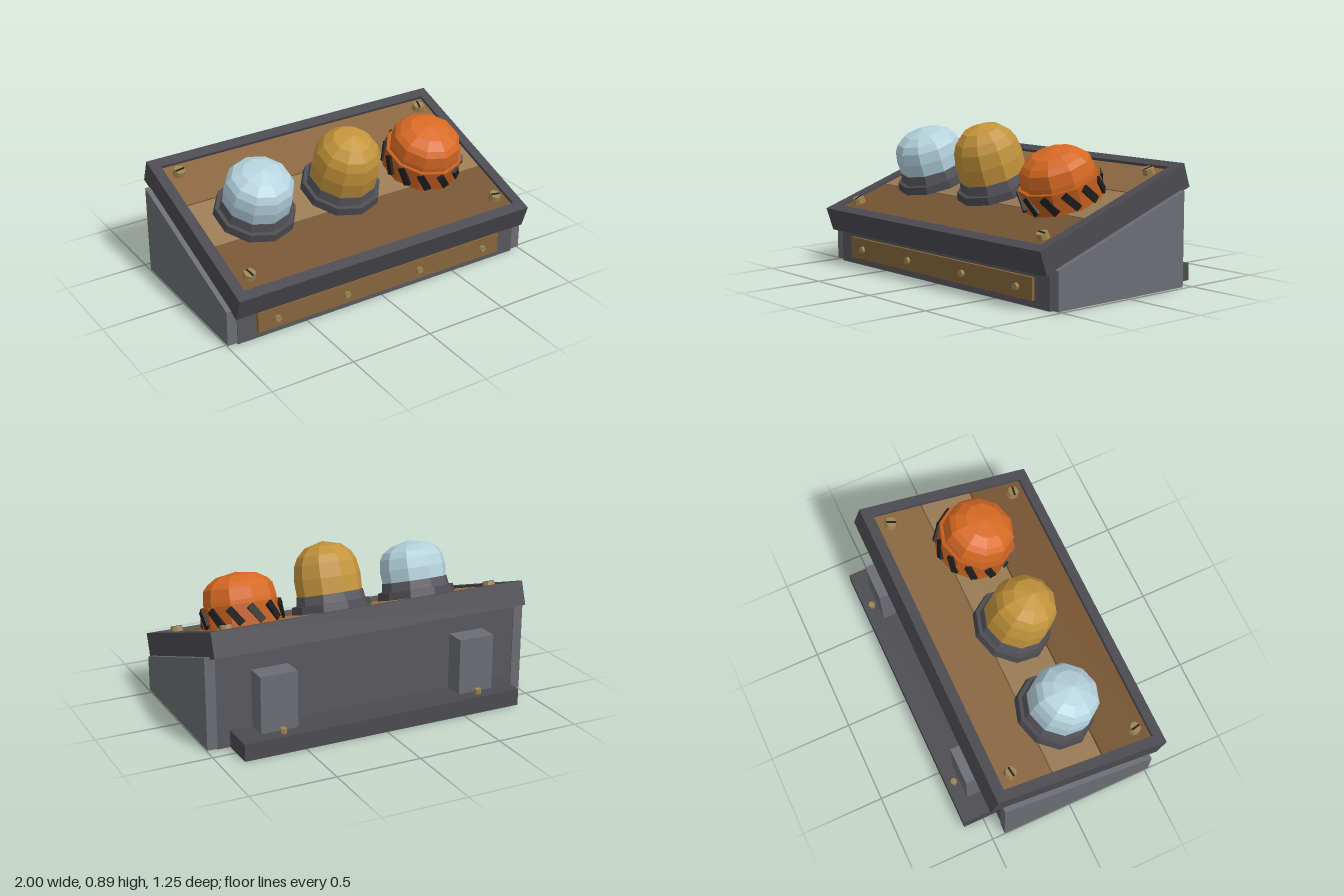
import * as THREE from 'three';

const mat = (color, side = THREE.FrontSide) =>
  new THREE.MeshStandardMaterial({ color, flatShading: true, side });

export function createModel() {
  const model = new THREE.Group();
  model.name = 'lampConsole';

  const dark = mat(0x4a4a50), steel = mat(0x57575d), light = mat(0x6c6d73);
  const black = mat(0x1e1e1e), brass = mat(0x9c8450), wood = mat(0x86643c);

  const add = (parent, name, geometry, material, x = 0, y = 0, z = 0) => {
    const mesh = new THREE.Mesh(geometry, material);
    mesh.name = name;
    mesh.position.set(x, y, z);
    parent.add(mesh);
    return mesh;
  };
  const box = (w, h, d) => new THREE.BoxGeometry(w, h, d);
  const cyl = (rt, rb, h, n) => new THREE.CylinderGeometry(rt, rb, h, n);

  // Wedge: side profile of [z, y] points, extruded along x and centred
  const wedge = (points, width) => {
    const shape = new THREE.Shape(points.map(([z, y]) => new THREE.Vector2(z, y)));
    return new THREE.ExtrudeGeometry(shape, { depth: width, bevelEnabled: false })
      .rotateY(-Math.PI / 2)
      .translate(width / 2, 0, 0);
  };

  // Housing and its side plates
  add(model, 'body', wedge([[-0.415, 0], [0.528, 0], [0.528, 0.225], [-0.415, 0.55]], 1.88), steel);
  for (const s of [-1, 1]) {
    add(model, 'sidePlate', wedge([[-0.422, 0.008], [0.524, 0.008], [0.524, 0.222], [-0.422, 0.55]], 0.06), light, s * 0.97);
  }

  // Front strip with rivets
  add(model, 'frontStrip', box(1.64, 0.125, 0.025), wood, 0, 0.102, 0.534);
  for (const x of [-0.7, -0.25, 0.245, 0.7]) {
    add(model, 'rivet', cyl(0.02, 0.02, 0.02, 8).rotateX(Math.PI / 2), brass, x, 0.1, 0.555);
  }

  // Rear ledge, supports and bolts
  add(model, 'rearLedge', box(1.725, 0.1, 0.21), dark, 0, 0.05, -0.518);
  for (const s of [-1, 1]) {
    add(model, 'rearSupport', box(0.22, 0.335, 0.13), light, s * 0.62, 0.265, -0.475);
    add(model, 'ledgeBolt', cyl(0.02, 0.02, 0.03, 6), brass, s * 0.615, 0.115, -0.575);
  }

  // Tilted top panel; its local y = 0 is the top of the frame
  const panel = new THREE.Group();
  panel.name = 'topPanel';
  panel.position.set(0, 0.515, 0.0875);
  panel.rotation.x = 0.331;
  model.add(panel);

  const rect = (path, w, d) => path.moveTo(-w, -d).lineTo(w, -d).lineTo(w, d).lineTo(-w, d).closePath();
  const frame = rect(new THREE.Shape(), 0.97, 0.568);
  frame.holes.push(rect(new THREE.Path(), 0.908, 0.503));
  add(panel, 'frame', new THREE.ExtrudeGeometry(frame, { depth: 0.144, bevelEnabled: false }).rotateX(Math.PI / 2), dark);
  add(panel, 'backing', box(1.816, 0.104, 1.006), dark, 0, -0.092, 0);

  // Three planks: back, middle, front
  const planks = [[-0.5, -0.186, 0x8a6640], [-0.178, 0.15, 0x987a53], [0.158, 0.5, 0x745433]];
  for (const [z0, z1, color] of planks) {
    add(panel, 'plank', box(1.81, 0.04, z1 - z0), mat(color), 0, -0.035, (z0 + z1) / 2);
  }

  // Slotted corner screws
  for (const x of [-0.83, 0.83]) {
    for (const z of [-0.425, 0.415]) {
      const screw = new THREE.Group();
      screw.name = 'screw';
      screw.position.set(x, -0.015, z);
      screw.rotation.y = x * 0.7 + z * 2;
      panel.add(screw);
      add(screw, 'screwHead', cyl(0.034, 0.038, 0.035, 8), brass, 0, 0.0175, 0);
      add(screw, 'screwSlot', box(0.012, 0.004, 0.06), black, 0, 0.035, 0);
    }
  }

  // Lamp domes: lathe profile of [radius, height]
  const dome = (parent, name, color, profile) =>
    add(parent, name, new THREE.LatheGeometry(profile.map(([r, h]) => new THREE.Vector2(r, h)), 10), mat(color, THREE.DoubleSide));
  const lamp = (name, x) => {
    const group = new THREE.Group();
    group.name = name;
    group.position.x = x;
    panel.add(group);
    return group;
  };
  const socket = (parent) => {
    add(parent, 'flange', cyl(0.232, 0.24, 0.05, 10), dark, 0, 0.005, 0);
    add(parent, 'collar', cyl(0.2, 0.208, 0.06, 10), steel, 0, 0.055, 0);
  };

  const blueLamp = lamp('blueLamp', -0.57);
  socket(blueLamp);
  dome(blueLamp, 'blueDome', 0xb4d2de,
    [[0.194, 0.05], [0.202, 0.16], [0.192, 0.225], [0.168, 0.264], [0.112, 0.298], [0, 0.325]]);

  const yellowLamp = lamp('yellowLamp', 0);
  socket(yellowLamp);
  dome(yellowLamp, 'yellowDome', 0xc4943c,
    [[0.194, 0.05], [0.199, 0.18], [0.186, 0.265], [0.162, 0.315], [0.11, 0.364], [0, 0.394]]);

  // Orange lamp with a striped warning collar
  const orangeLamp = lamp('orangeLamp', 0.565);
  add(orangeLamp, 'warningCollar', cyl(0.234, 0.234, 0.135, 10), mat(0xc05c1e), 0, 0.0425, 0);
  dome(orangeLamp, 'orangeDome', 0xd86a24,
    [[0.212, 0.08], [0.212, 0.135], [0.2, 0.205], [0.174, 0.235], [0.118, 0.27], [0, 0.29]]);
  for (let i = 0; i < 12; i++) {
    const pivot = new THREE.Group();
    pivot.name = 'stripePivot';
    pivot.rotation.y = (i / 12) * Math.PI * 2;
    orangeLamp.add(pivot);
    add(pivot, 'warningStripe', box(0.042, 0.115, 0.03), black, 0, 0.048, 0.224).rotation.z = 0.6;
  }

  return model;
}
